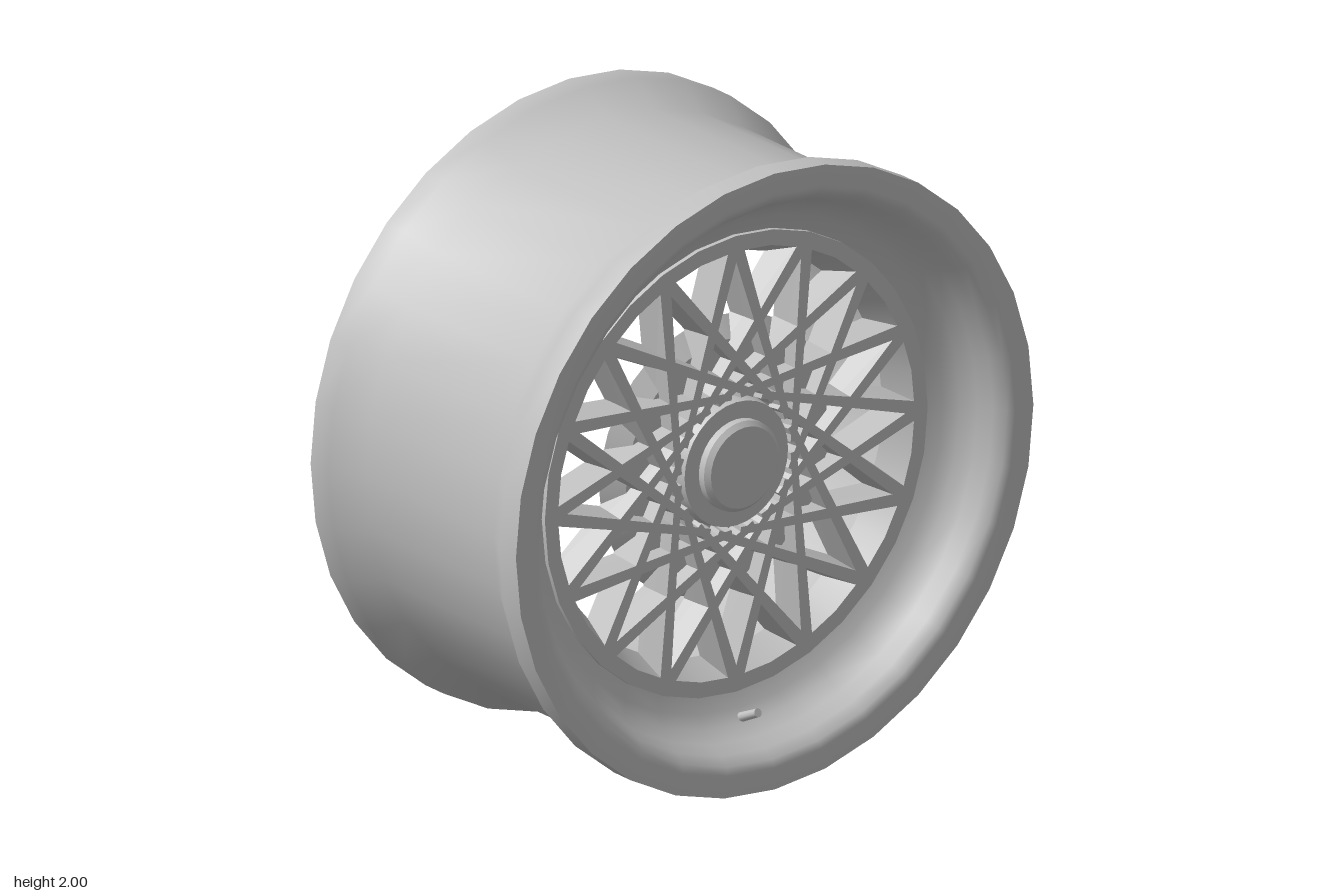
import * as THREE from 'three';
import { mergeGeometries } from 'three/addons/utils/BufferGeometryUtils.js';

const SIDES = 32;

// Revolves [radius, x] runs about the x axis; each run is smooth, joints between runs are sharp.
function revolve(runs) {
  const parts = runs.map((run) =>
    new THREE.LatheGeometry(run.map(([r, x]) => new THREE.Vector2(r, x)), SIDES));
  return mergeGeometries(parts).rotateZ(-Math.PI / 2);
}

// Splits a profile so that every edge is sharp.
const sharp = (pts) => pts.slice(1).map((p, i) => [pts[i], p]);

// Tapered bar tangent to a circle of radius d, reaching out to radius R.
function spoke(side, turn) {
  const d = 0.22, R = 0.72, front = 0.31, back = 0.21;
  const length = Math.sqrt(R * R - d * d);
  const geo = new THREE.BoxGeometry(1, 1, 1);
  const p = geo.attributes.position;
  for (let i = 0; i < p.count; i++) {
    const isFront = p.getX(i) > 0, isOuter = p.getY(i) > 0;
    const half = (isOuter ? 0.021 : 0.012) + (isFront ? 0 : isOuter ? 0.014 : 0.01);
    p.setXYZ(i, isFront ? front : back, isOuter ? length : 0.035,
      side * d + Math.sign(p.getZ(i)) * half);
  }
  geo.rotateX(turn - side * Math.atan2(d, length));
  const flat = geo.toNonIndexed();
  flat.computeVertexNormals();
  return flat;
}

export function createModel() {
  const wheel = new THREE.Group();
  wheel.name = 'wheelRim';
  const metal = new THREE.MeshStandardMaterial({ color: 0xc0c0c0 });
  metal.name = 'silverGrey';

  const add = (name, geo) => {
    const mesh = new THREE.Mesh(geo, metal);
    mesh.name = name;
    wheel.add(mesh);
    return mesh;
  };

  // Barrel with softly flared flanges, open at the back
  add('barrel', revolve([
    [[0.74, 0.21], [0.8, 0.08], [0.81, -0.05], [0.81, -0.495]],
    [[0.81, -0.495], [1, -0.495]],
    [[1, -0.495], [1, -0.41], [0.93, -0.315], [0.93, 0.3], [1, 0.415], [1, 0.495]],
  ]));

  // Flat lip running smoothly into the dish around the spoke ring
  add('frontDish', revolve([
    [[1, 0.495], [0.93, 0.495], [0.905, 0.485], [0.88, 0.45], [0.86, 0.4], [0.83, 0.35], [0.79, 0.318], [0.74, 0.295]],
  ]));

  // Ring that carries the outer spoke ends
  add('spokeRing', revolve(sharp([[0.74, 0.28], [0.74, 0.31], [0.69, 0.31], [0.645, 0.21], [0.74, 0.21]])));

  // Lattice of sixteen mirrored spoke pairs
  const spokes = [];
  for (let i = 0; i < 16; i++) {
    for (const side of [-1, 1]) spokes.push(spoke(side, (i * Math.PI) / 8));
  }
  add('spokeLattice', mergeGeometries(spokes));

  // Bevelled plate closing the small inner windows
  add('hubPlate', revolve(sharp([[0, 0.21], [0.45, 0.21], [0.39, 0.265], [0, 0.265]])));

  // Hub collar flush with the spokes, and raised centre cap
  add('hubCollar', revolve(sharp([[0.21, 0.25], [0.2, 0.31], [0.14, 0.31]])));
  add('centreCap', revolve(sharp([[0.145, 0.29], [0.145, 0.335], [0.13, 0.35], [0, 0.35]])));

  // Valve stem at the bottom of the dish
  const valve = add('valveStem', new THREE.CylinderGeometry(0.014, 0.016, 0.11, 10));
  valve.position.set(0.365, 0.2 - 1, 0);
  valve.rotation.z = -Math.PI / 2 + 0.45;

  wheel.children.forEach((part) => { part.position.y += 1; });
  return wheel;
}
